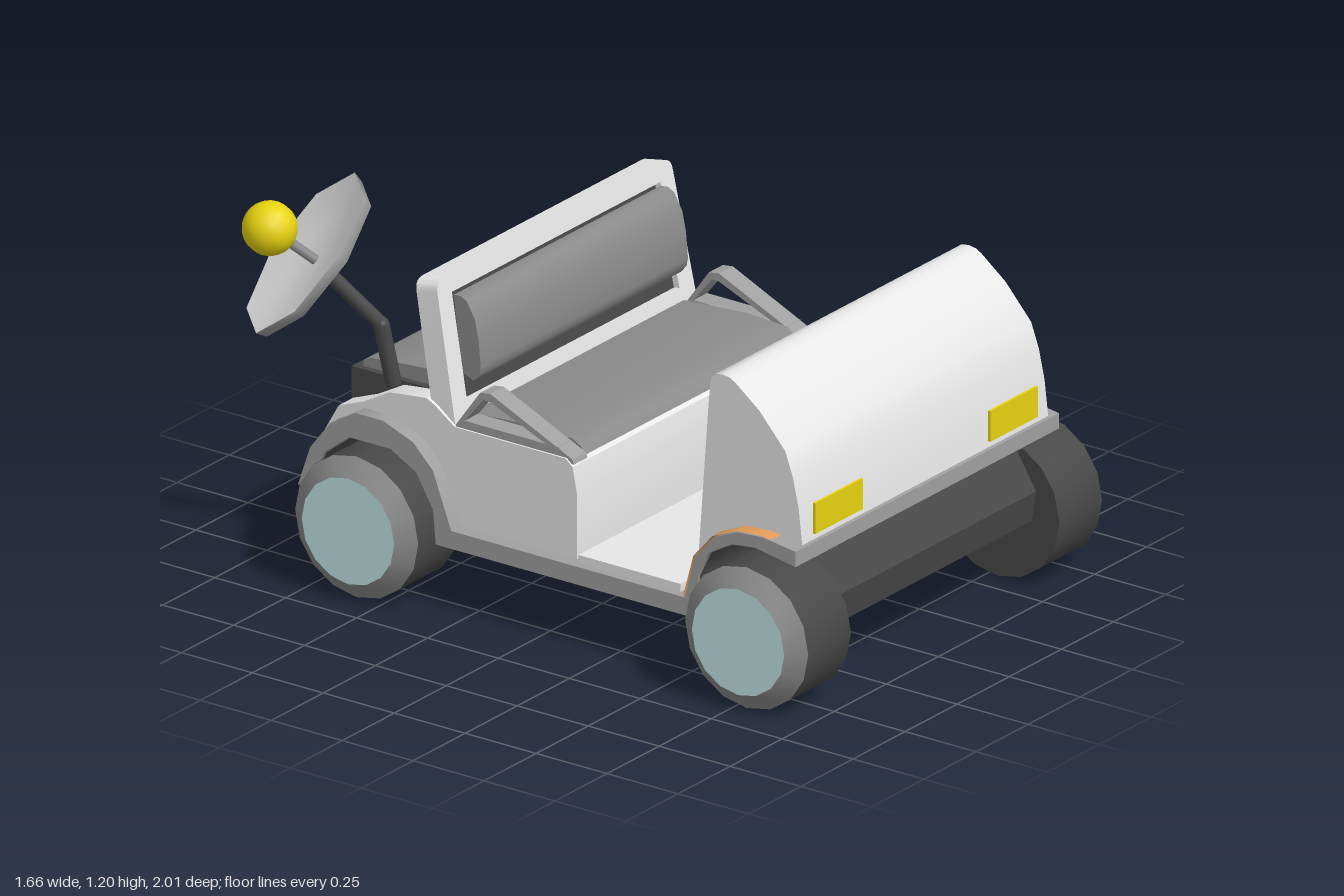
import * as THREE from 'three';
import { toCreasedNormals } from 'three/addons/utils/BufferGeometryUtils.js';

const mat = (name, color, side = THREE.FrontSide) => {
  const m = new THREE.MeshStandardMaterial({ color, side });
  m.name = name;
  return m;
};

export function createModel() {
  const root = new THREE.Group();
  root.name = 'buggy';
  const light = mat('light grey', 0xe8e8e8);
  const grey = mat('fender grey', 0xa0a0a0);
  const mid = mat('seat grey', 0x8a8a8a);
  const dark = mat('dark grey', 0x484848, THREE.DoubleSide);
  const teal = mat('hub teal', 0xc0e4e4);
  const yellow = mat('yellow', 0xe8d410);
  const orange = mat('orange', 0xe8a05a, THREE.DoubleSide);
  const CX = 0.078; // middle of the body; the dish hangs out to one side

  const add = (name, geo, material, parent = root) => {
    const m = new THREE.Mesh(geo, material);
    m.name = name;
    parent.add(m);
    return m;
  };
  const box = (name, material, x0, x1, y0, y1, z0, z1) =>
    add(name, new THREE.BoxGeometry(x1 - x0, y1 - y0, z1 - z0), material)
      .position.set((x0 + x1) / 2, (y0 + y1) / 2, (z0 + z1) / 2);
  const shapeOf = (pts) => new THREE.Shape(pts.map((p) => new THREE.Vector2(...p)));
  // side profile in (z, y), extruded across the body from x0 to x1
  const across = (name, material, shape, x0, x1, crease = 0.6) => {
    const g = new THREE.ExtrudeGeometry(shape, { depth: x1 - x0, bevelEnabled: false, curveSegments: 6 });
    g.rotateY(-Math.PI / 2).translate(x1, 0, 0);
    return add(name, toCreasedNormals(g, crease), material);
  };
  // thin sheet following a (z, y) path, lifted sideways by d
  const ribbon = (name, material, path, x0, x1, d) => {
    const pos = [], idx = [];
    path.forEach(([z, y], i) => {
      const a = path[Math.max(i - 1, 0)], b = path[Math.min(i + 1, path.length - 1)];
      const l = Math.hypot(b[0] - a[0], b[1] - a[1]);
      const oz = z - d * (b[1] - a[1]) / l, oy = y + d * (b[0] - a[0]) / l;
      pos.push(x0, oy, oz, x1, oy, oz);
      if (i) idx.push(2 * i - 2, 2 * i - 1, 2 * i, 2 * i - 1, 2 * i + 1, 2 * i);
    });
    const g = new THREE.BufferGeometry();
    g.setAttribute('position', new THREE.Float32BufferAttribute(pos, 3));
    g.setIndex(idx);
    add(name, toCreasedNormals(g, 0.6), material);
  };
  const rod = (name, material, a, b, r, parent = root) => {
    const dir = b.clone().sub(a);
    const m = add(name, new THREE.CylinderGeometry(r, r, dir.length(), 8), material, parent);
    m.position.copy(a).add(b).multiplyScalar(0.5);
    m.quaternion.setFromUnitVectors(new THREE.Vector3(0, 1, 0), dir.normalize());
  };

  // Chassis strip: front fender, floor and rear fender in one profile
  const frontTop = [[0.904, 0.487], [0.82, 0.499], [0.786, 0.503], [0.70, 0.497], [0.615, 0.46], [0.55, 0.385], [0.513, 0.25]];
  const rearTop = [[-0.31, 0.25], [-0.374, 0.42], [-0.444, 0.49], [-0.55, 0.53], [-0.647, 0.53], [-0.738, 0.475], [-0.807, 0.385], [-0.85, 0.26]];
  const rearArch = [[-0.82, 0.26], [-0.754, 0.385], [-0.67, 0.45], [-0.524, 0.45], [-0.433, 0.4], [-0.374, 0.3], [-0.364, 0.195]];
  const frontArch = [[0.556, 0.195], [0.56, 0.33], [0.6, 0.41], [0.68, 0.455], [0.76, 0.465], [0.904, 0.44]];
  across('chassis', grey, shapeOf([...frontTop, ...rearTop, ...rearArch, ...frontArch]), -0.555, 0.71);
  ribbon('rearArchLining', dark, rearArch, -0.55, 0.705, -0.004);
  ribbon('frontArchLining', dark, frontArch, -0.55, 0.705, -0.004);
  ribbon('fenderPaint', orange, frontTop.slice(1), -0.557, -0.51, -0.005);
  across('frontAxleBeam', dark, shapeOf([[0.92, 0.295], [0.84, 0.424], [0.73, 0.424], [0.65, 0.295], [0.7, 0.2], [0.905, 0.2]]), -0.43, 0.59, 0.7);
  box('floorMat', light, -0.53, 0.685, 0.24, 0.275, 0.12, 0.48);

  // Hood and lamps
  across('hood', light, shapeOf([[0.895, 0.49], [0.882, 0.6], [0.862, 0.69], [0.835, 0.765], [0.745, 0.866], [0.66, 0.932],
    [0.64, 0.943], [0.615, 0.947], [0.59, 0.943], [0.573, 0.925], [0.565, 0.85], [0.52, 0.245], [0.56, 0.36], [0.64, 0.45], [0.76, 0.48]]), -0.51, 0.67, 1.2);
  for (const s of [-1, 1]) {
    const x = CX + s * 0.42;
    box('headlamp', yellow, x - 0.114, x + 0.114, 0.508, 0.602, 0.893, 0.901);
  }

  // Seat box and rear body
  across('seatBox', light, shapeOf([[0.1, 0.24], [0.1, 0.455], [0.085, 0.53], [0.06, 0.55], [-0.33, 0.55], [-0.4, 0.6], [-0.43, 0.615],
    [-0.56, 0.6], [-0.65, 0.55], [-0.74, 0.515], [-0.805, 0.4], [-0.855, 0.262], [-0.82, 0.3], [-0.75, 0.44], [-0.65, 0.5], [-0.54, 0.5], [-0.43, 0.45], [-0.34, 0.3], [-0.3, 0.24]]),
    -0.51, 0.67, 0.4);
  across('seatCushion', mid, shapeOf([[0.075, 0.54], [0.06, 0.562], [0.03, 0.578], [-0.1, 0.585], [-0.33, 0.57], [-0.33, 0.54]]), -0.435, 0.59);

  // Armrests: triangular frames
  for (const s of [-1, 1]) {
    const arm = shapeOf([[0.085, 0.535], [0.08, 0.55], [-0.21, 0.68], [-0.245, 0.675], [-0.335, 0.55], [-0.335, 0.535]]);
    arm.holes.push(new THREE.Path([[0.03, 0.575], [-0.3, 0.575], [-0.235, 0.655], [-0.21, 0.655]].map((p) => new THREE.Vector2(...p))));
    const x = CX + s * 0.549;
    across('armrest', grey, arm, x - 0.033, x + 0.033, 0.3);
  }

  // Seat back: open frame, recessed panel and padded cushion, leaning backwards
  const back = new THREE.Group();
  back.name = 'seatBack';
  back.position.set(CX, 0.555, -0.335);
  back.rotation.x = -0.19;
  root.add(back);
  const W = 0.58, H = 0.425, r = 0.04;
  const frame = new THREE.Shape();
  frame.moveTo(-W, 0).lineTo(W, 0).lineTo(W - 0.015, H - r);
  frame.quadraticCurveTo(W - 0.015, H, W - 0.015 - r, H).lineTo(-W + 0.015 + r, H);
  frame.quadraticCurveTo(-W + 0.015, H, -W + 0.015, H - r).lineTo(-W, 0);
  frame.holes.push(new THREE.Path([[-0.51, 0.05], [-0.5, 0.37], [0.5, 0.37], [0.51, 0.05]].map((p) => new THREE.Vector2(...p))));
  const fg = new THREE.ExtrudeGeometry(frame, { depth: 0.075, bevelEnabled: false, curveSegments: 5 });
  add('backFrame', toCreasedNormals(fg.translate(0, 0, -0.075), 0.5), light, back);
  add('backPanel', new THREE.BoxGeometry(1.03, 0.34, 0.02), dark, back).position.set(0, 0.21, -0.03);
  across('backCushion', mid, shapeOf([[-0.4, 0.91], [-0.375, 0.912], [-0.353, 0.9], [-0.325, 0.85], [-0.312, 0.79], [-0.305, 0.71],
    [-0.31, 0.685], [-0.33, 0.662], [-0.37, 0.68]]), -0.42, 0.575);

  // Rear-facing bench
  box('rearBenchBase', dark, -0.44, 0.6, 0.48, 0.612, -0.745, -0.43);
  across('rearBenchCushion', mid, shapeOf([[-0.45, 0.61], [-0.455, 0.645], [-0.475, 0.66], [-0.56, 0.655], [-0.69, 0.643], [-0.715, 0.632], [-0.72, 0.61]]), -0.42, 0.565);

  // Wheels: tread, bevelled rim and hub cap
  const lathe = (pts, seg, crease = 0.5) =>
    toCreasedNormals(new THREE.LatheGeometry(pts.map((p) => new THREE.Vector2(...p)), seg), crease);
  for (const s of [-1, 1]) for (const z of [0.785, -0.59]) {
    const wheel = new THREE.Group();
    wheel.name = 'wheel';
    wheel.position.set(CX + s * 0.5, 0.218, z);
    wheel.rotation.z = -s * Math.PI / 2;
    root.add(wheel);
    add('tyre', lathe([[0, 0], [0.217, 0], [0.217, 0.205]], 16), dark, wheel);
    add('rim', lathe([[0.217, 0.205], [0.163, 0.247]], 16), mid, wheel);
    add('hubCap', new THREE.CylinderGeometry(0.163, 0.163, 0.01, 16), teal, wheel).position.y = 0.242;
  }

  // Dish on a bent pole
  const n = new THREE.Vector3(-0.525, 0.62, -0.58).normalize();
  const u = new THREE.Vector3(0.04, 0.208, 0.186);
  u.addScaledVector(n, -u.dot(n)).normalize();
  const dish = new THREE.Group();
  dish.name = 'dish';
  dish.position.set(-0.6, 1.0, -0.783);
  dish.quaternion.setFromRotationMatrix(new THREE.Matrix4().makeBasis(n.clone().cross(u), n, u));
  root.add(dish);
  add('dishBack', lathe([[0, -0.075], [0.13, -0.065], [0.262, -0.025], [0.272, 0.008]], 8, 1.4), grey, dish);
  add('dishFace', lathe([[0.272, 0.008], [0.14, -0.02], [0, -0.03]], 8), light, dish);
  rod('feedRod', mid, new THREE.Vector3(0, -0.03, 0), new THREE.Vector3(0, 0.13, 0), 0.015, dish);
  add('feedBall', new THREE.SphereGeometry(0.08, 16, 12), yellow, dish).position.y = 0.138;
  const pole = [[-0.45, 0.6, -0.59], [-0.475, 0.785, -0.615], [-0.57, 0.95, -0.74]].map((p) => new THREE.Vector3(...p));
  rod('poleLower', dark, pole[0], pole[1], 0.024);
  rod('poleUpper', dark, pole[1], pole[2], 0.022);
  add('poleElbow', new THREE.SphereGeometry(0.024, 8, 6), dark).position.copy(pole[1]);

  return root;
}
